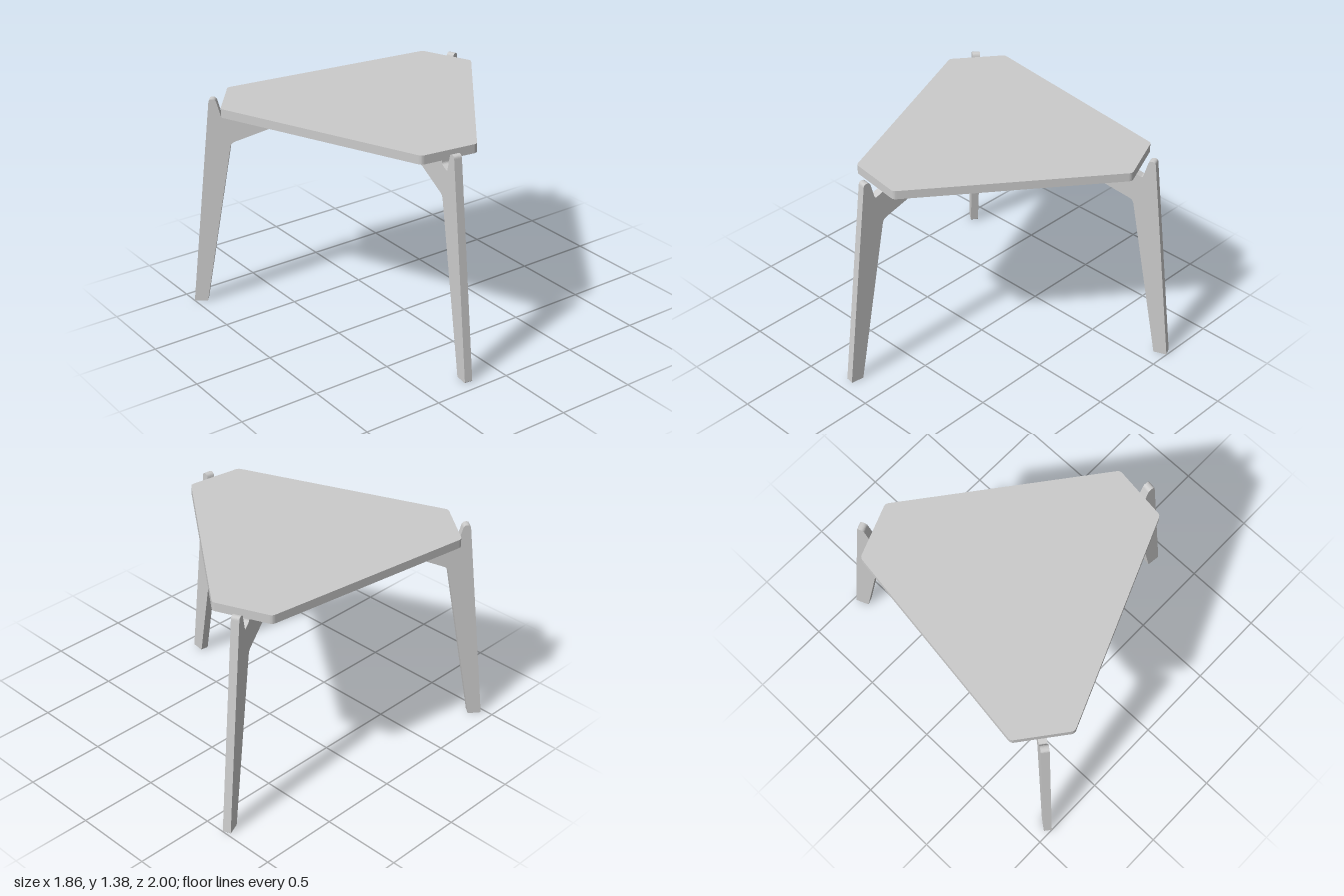
import * as THREE from 'three';

const CENTER = [-0.213, 0.073];
const TURN = 7.5 * Math.PI / 180;
const THICK = 0.05;

// Path through [x, y, fillet] points with rounded corners
function roundedShape(points) {
  const shape = new THREE.Shape();
  const n = points.length;
  points.forEach(([x, y, r = 0], i) => {
    const p = new THREE.Vector2(x, y);
    const toward = (q) => new THREE.Vector2(q[0], q[1]).sub(p).setLength(r).add(p);
    const a = toward(points[(i + n - 1) % n]);
    const b = toward(points[(i + 1) % n]);
    if (i === 0) shape.moveTo(a.x, a.y);
    else shape.lineTo(a.x, a.y);
    if (r > 0) shape.quadraticCurveTo(p.x, p.y, b.x, b.y);
  });
  shape.closePath();
  return shape;
}

// Triangle with cut-off corners: each cut lies at distance d, half-width h
function cutTriangle(d, h, fillet) {
  const points = [];
  for (let i = 0; i < 3; i++) {
    const a = i * Math.PI * 2 / 3, c = Math.cos(a), s = Math.sin(a);
    for (const t of [-h, h]) points.push([d * c - t * s, d * s + t * c, fillet]);
  }
  return roundedShape(points);
}

// Horizontal slab whose upper face is at height top
function slab(shape, top, depth) {
  const geo = new THREE.ExtrudeGeometry(shape, { depth, bevelEnabled: false, curveSegments: 5 });
  geo.rotateX(Math.PI / 2);
  geo.translate(0, top, 0);
  return geo;
}

export function createModel() {
  const model = new THREE.Group();
  model.name = 'threeLeggedTable';
  const material = new THREE.MeshStandardMaterial({ color: 0xcccccc });

  const frame = new THREE.Group();
  frame.name = 'table';
  frame.position.set(CENTER[0], 0, CENTER[1]);
  frame.rotation.y = -TURN;
  model.add(frame);

  const add = (name, geo) => {
    const mesh = new THREE.Mesh(geo, material);
    mesh.name = name;
    frame.add(mesh);
    return mesh;
  };

  add('tableTop', slab(cutTriangle(0.9, 0.18, 0.02), 1.375, 0.055));

  // Leg and beam in one board, with a hooked notch at the table edge
  const inner = THICK / 2 / Math.sqrt(3);
  const profile = roundedShape([
    [inner, 1.2], [0.595, 1.2], [0.868, 1.09, 0.025], [1.065, 0, 0.006], [1.15, 0, 0.006],
    [0.99, 1.375, 0.02], [0.95, 1.375, 0.02], [0.918, 1.255, 0.012], [0.86, 1.28, 0.012],
    [0.86, 1.32], [inner, 1.32],
  ]);
  const legGeo = new THREE.ExtrudeGeometry(profile, { depth: THICK, bevelEnabled: false, curveSegments: 6 });
  legGeo.translate(0, 0, -THICK / 2);
  for (let i = 0; i < 3; i++) {
    add('leg' + (i + 1), legGeo).rotation.y = -i * Math.PI * 2 / 3;
  }

  // Plate joining the three beams underneath, with a round centre hole
  const plate = cutTriangle(0.14, 0.045, 0);
  plate.holes.push(new THREE.Path().absarc(0, 0, 0.042, 0, Math.PI * 2, true));
  add('hubPlate', slab(plate, 1.2, 0.01));

  return model;
}
